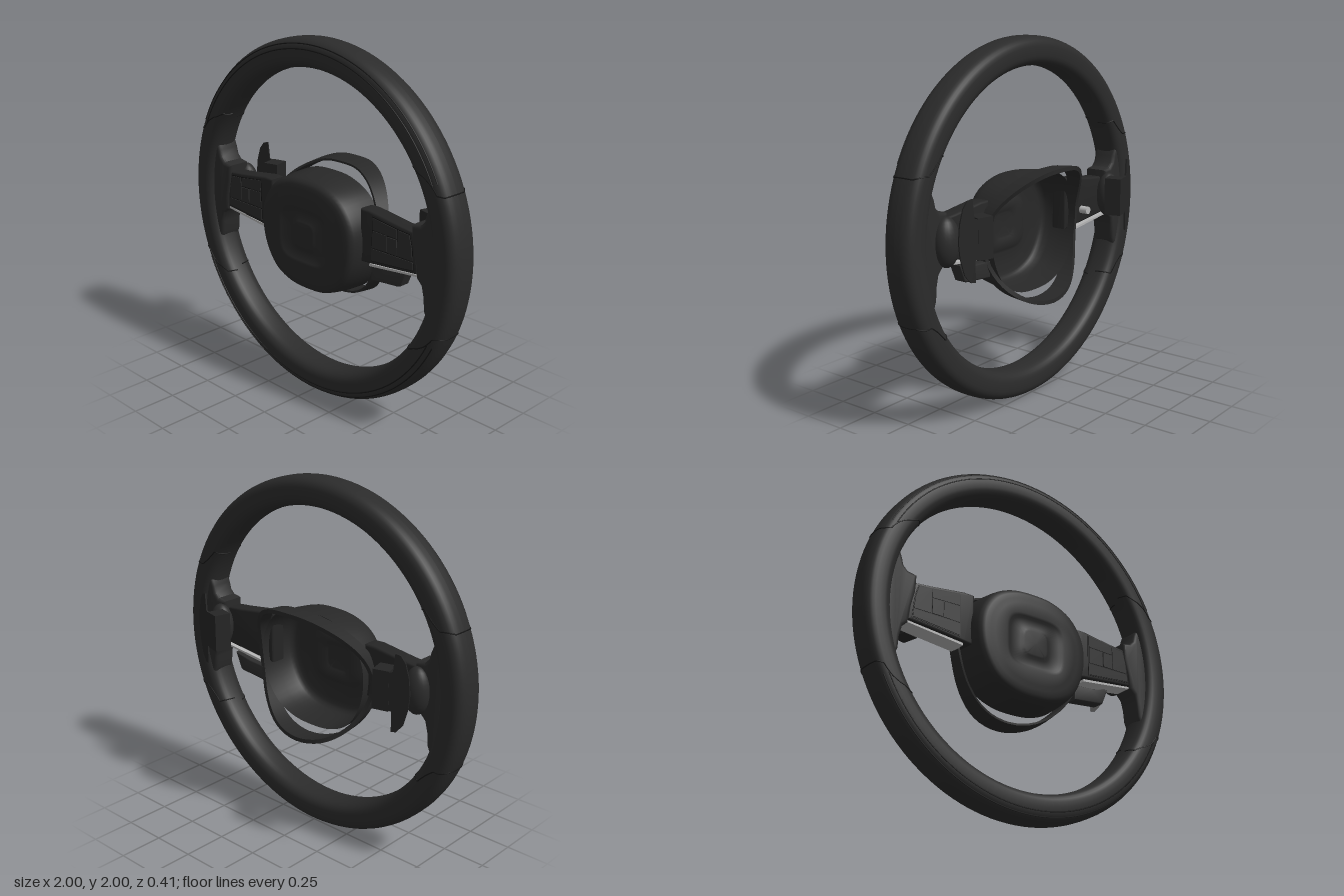
import * as THREE from 'three';
import { toCreasedNormals } from 'three/addons/utils/BufferGeometryUtils.js';

const mat = (name, color, side = THREE.FrontSide) => {
  const m = new THREE.MeshStandardMaterial({ color, side });
  m.name = name;
  return m;
};

// Closed symmetric outline, counter-clockwise from the top, from its right half
function outline(half, n = 72) {
  const left = half.map(([x, y]) => new THREE.Vector3(-x, y, 0));
  const right = half.slice(1, -1).reverse().map(([x, y]) => new THREE.Vector3(x, y, 0));
  const curve = new THREE.CatmullRomCurve3([...left, ...right], true, 'centripetal');
  return Array.from({ length: n }, (_, i) => curve.getPoint(i / n));
}

// Skin between rings of equal point count
function loft(rings, closed = false, crease = 0.6) {
  const n = rings[0].length, index = [];
  const last = closed ? rings.length : rings.length - 1;
  for (let r = 0; r < last; r++) {
    for (let i = 0; i < n; i++) {
      const j = (i + 1) % n, q = (r + 1) % rings.length;
      const a = r * n + i, b = r * n + j, c = q * n + i, d = q * n + j;
      index.push(a, b, d, a, d, c);
    }
  }
  const g = new THREE.BufferGeometry().setFromPoints(rings.flat());
  g.setIndex(index);
  return toCreasedNormals(g, crease);
}

// Plate cut from an outline, s mirrors it in x
function plate(points, s, z0, z1, bevel = 0) {
  const shape = new THREE.Shape(points.map(([x, y]) => new THREE.Vector2(x * s, y)));
  const g = new THREE.ExtrudeGeometry(shape, {
    depth: z1 - z0 - 2 * bevel, bevelEnabled: bevel > 0, bevelSize: bevel,
    bevelThickness: bevel, bevelOffset: -bevel, bevelSegments: 3,
  });
  g.translate(0, 0, z0 + bevel);
  return toCreasedNormals(g, 0.6);
}

// Rim cross-section: radius and depth at section angle t
const soft = (v) => Math.sign(v) * Math.abs(v) ** 0.7;
const section = (t) => [0.92 + 0.08 * soft(Math.cos(t)), 0.063 + 0.095 * soft(Math.sin(t))];
function rimPoint(theta, t, sx, sy) {
  const [r, z] = section(t);
  return new THREE.Vector3(sx * r * Math.cos(theta), 1 + sy * r * Math.sin(theta), z);
}

export function createModel() {
  const model = new THREE.Group();
  const leather = mat('leather', 0x2b2b2b);
  const shell = mat('hubPlastic', 0x282828, THREE.DoubleSide);
  const pod = mat('spokePlastic', 0x252525);
  const button = mat('buttonPlastic', 0x2c2c2c);
  const groove = mat('seam', 0x151515);
  const metal = mat('metal', 0xb4b4b4);
  const add = (name, geometry, material) => {
    const m = new THREE.Mesh(geometry, material);
    m.name = name;
    model.add(m);
    return m;
  };
  const deg = Math.PI / 180;

  // Rim
  const profile = Array.from({ length: 33 }, (_, i) => new THREE.Vector2(...section((i / 32) * Math.PI * 2)));
  add('rim', new THREE.LatheGeometry(profile, 128).rotateX(Math.PI / 2).translate(0, 1, 0), leather);

  // Rim seams: long arcs and stepped cross seams
  const step = [[-3.1, 33], [-1.9, 32], [-1.5, 24], [-0.5, 22], [0, 22], [0.8, 22], [1.25, 23], [1.65, 30], [2.2, 34], [3.1, 35]];
  for (const sy of [1, -1]) {
    for (const t of [1.38, 1.0]) {
      const pts = Array.from({ length: 33 }, (_, i) => rimPoint((26 + i * 4) * deg, t, 1, sy));
      add('arcSeam', new THREE.TubeGeometry(new THREE.CatmullRomCurve3(pts), 96, 0.0035, 5), groove);
    }
    for (const sx of [1, -1]) {
      const pts = [];
      for (let i = 0; i < step.length - 1; i++) {
        for (let k = 0; k < 5; k++) {
          const f = k / 5, [t0, a0] = step[i], [t1, a1] = step[i + 1];
          pts.push(rimPoint((a0 + (a1 - a0) * f) * deg, t0 + (t1 - t0) * f, sx, sy));
        }
      }
      add('crossSeam', new THREE.TubeGeometry(new THREE.CatmullRomCurve3(pts), 100, 0.0035, 5), groove);
    }
  }

  // Hub: hollow bowl with a recessed soft square on its face
  const cy = 0.95;
  const hub = outline([[0, 1.275], [0.14, 1.262], [0.27, 1.2], [0.35, 1.09], [0.372, 0.97], [0.345, 0.82], [0.26, 0.69], [0.14, 0.63], [0, 0.615]]);
  const scaled = (k, z) => hub.map((p) => new THREE.Vector3(p.x * k, cy + (p.y - cy) * k, z));
  const square = (w, h, z) => hub.map((p) => {
    const a = Math.atan2(p.y - cy, p.x), c = Math.cos(a), s = Math.sin(a);
    const r = 1 / ((Math.abs(c) / w) ** 4 + (Math.abs(s) / h) ** 4) ** 0.25;
    return new THREE.Vector3(r * c, cy + r * s, z);
  });
  add('hubCover', loft([
    scaled(1, -0.025), scaled(0.99, 0.06), scaled(0.965, 0.13), scaled(0.945, 0.165), scaled(0.91, 0.185),
    scaled(0.86, 0.193), scaled(0.78, 0.195), scaled(0.7, 0.199),
    square(0.19, 0.16, 0.203), square(0.175, 0.147, 0.2), square(0.16, 0.135, 0.192),
    square(0.095, 0.09, 0.19), square(0.08, 0.076, 0.197), square(0.07, 0.066, 0.199), square(0.0005, 0.0005, 0.2),
  ], false, 0.8), shell);

  // Surround: a band bent back at the top and bottom
  const by = 0.94;
  const ring = outline([[0, 1.317], [0.14, 1.305], [0.28, 1.24], [0.385, 1.13], [0.425, 1.0], [0.41, 0.87], [0.33, 0.71], [0.19, 0.6], [0, 0.56]]);
  const band = (k, front) => ring.map((p) => {
    const dy = p.y - by, u = (dy / 0.377) ** 2;
    const z = front ? 0.06 - (dy > 0 ? 0.15 : 0.1) * u : -(dy > 0 ? 0.21 : 0.15) * u;
    return new THREE.Vector3(p.x * k, by + dy * k, z);
  });
  add('hubSurround', loft([band(1, false), band(0.975, true), band(0.945, true), band(0.94, false)], true), shell);

  for (const s of [1, -1]) {
    // Widened grip where the spoke meets the rim
    add('gripBase', plate([
      [0.88, 1.42], [0.81, 1.31], [0.785, 1.25], [0.775, 1.21], [0.75, 1.185], [0.695, 1.175], [0.7, 1.08],
      [0.725, 0.98], [0.735, 0.9], [0.765, 0.87], [0.78, 0.81], [0.785, 0.74], [0.81, 0.68], [0.88, 0.58],
    ], s, -0.015, 0.125, 0.02), leather);
    const bump = add('thumbRest', new THREE.SphereGeometry(1, 24, 16), leather);
    bump.scale.set(0.075, 0.13, 0.065);
    bump.position.set(0.72 * s, 1.03, -0.02);

    // Spoke and its switches
    add('spoke', plate([
      [0.34, 1.17], [0.4, 1.172], [0.6, 1.145], [0.7, 1.135], [0.722, 1.05], [0.735, 0.918], [0.4, 0.884], [0.34, 0.88],
    ], s, 0.02, 0.115, 0.012), pod);
    add('switchPanel', plate([
      [0.43, 1.15], [0.6, 1.128], [0.685, 1.122], [0.705, 1.05], [0.715, 0.932], [0.425, 0.905],
    ], s, 0.112, 0.118), groove);
    add('upperSwitch', plate([[0.435, 1.145], [0.6, 1.123], [0.6, 1.075], [0.435, 1.08]], s, 0.115, 0.122), button);
    add('sideSwitch', plate([[0.606, 1.122], [0.682, 1.117], [0.7, 1.05], [0.706, 0.985], [0.606, 0.985]], s, 0.115, 0.122), button);
    add('middleSwitch', plate([[0.435, 1.074], [0.53, 1.072], [0.53, 0.985], [0.432, 0.982]], s, 0.115, 0.122), button);
    add('centreSwitch', plate([[0.536, 1.069], [0.6, 1.069], [0.6, 0.985], [0.536, 0.985]], s, 0.115, 0.124), button);
    add('lowerSwitch', plate([[0.43, 0.976], [0.708, 0.979], [0.711, 0.937], [0.428, 0.91]], s, 0.115, 0.122), button);
    add('spokeTrim', plate([[0.4, 0.866], [0.74, 0.904], [0.74, 0.915], [0.4, 0.88]], s, 0.005, 0.105), metal);

    // Shift paddle: angled block with a thin blade
    const paddle = new THREE.Group();
    paddle.name = 'shiftPaddle';
    paddle.position.set(0.606 * s, 1.055, -0.143);
    paddle.rotation.y = -0.26 * s;
    const block = new THREE.Mesh(new THREE.BoxGeometry(0.09, 0.215, 0.095), pod);
    block.name = 'paddleBlock';
    const blade = new THREE.Mesh(plate([
      [0.04, -0.1], [0.062, -0.105], [0.062, -0.215], [0.09, -0.212], [0.125, -0.17], [0.15, -0.08], [0.158, 0],
      [0.15, 0.09], [0.13, 0.165], [0.105, 0.2], [0.075, 0.208], [0.065, 0.11], [0.04, 0.1],
    ], s, -0.046, -0.037), pod);
    blade.name = 'paddleBlade';
    paddle.add(block, blade);
    model.add(paddle);
  }

  // Extra switch under the left spoke and a small peg behind the right one
  add('lowerLever', plate([[0.37, 0.855], [0.5, 0.862], [0.615, 0.885], [0.575, 0.79], [0.56, 0.783], [0.37, 0.765]], 1, -0.01, 0.06, 0.008), button);
  const peg = add('peg', new THREE.CylinderGeometry(0.022, 0.022, 0.06, 20), metal);
  peg.rotation.x = Math.PI / 2;
  peg.position.set(-0.5, 0.97, 0);

  return model;
}
